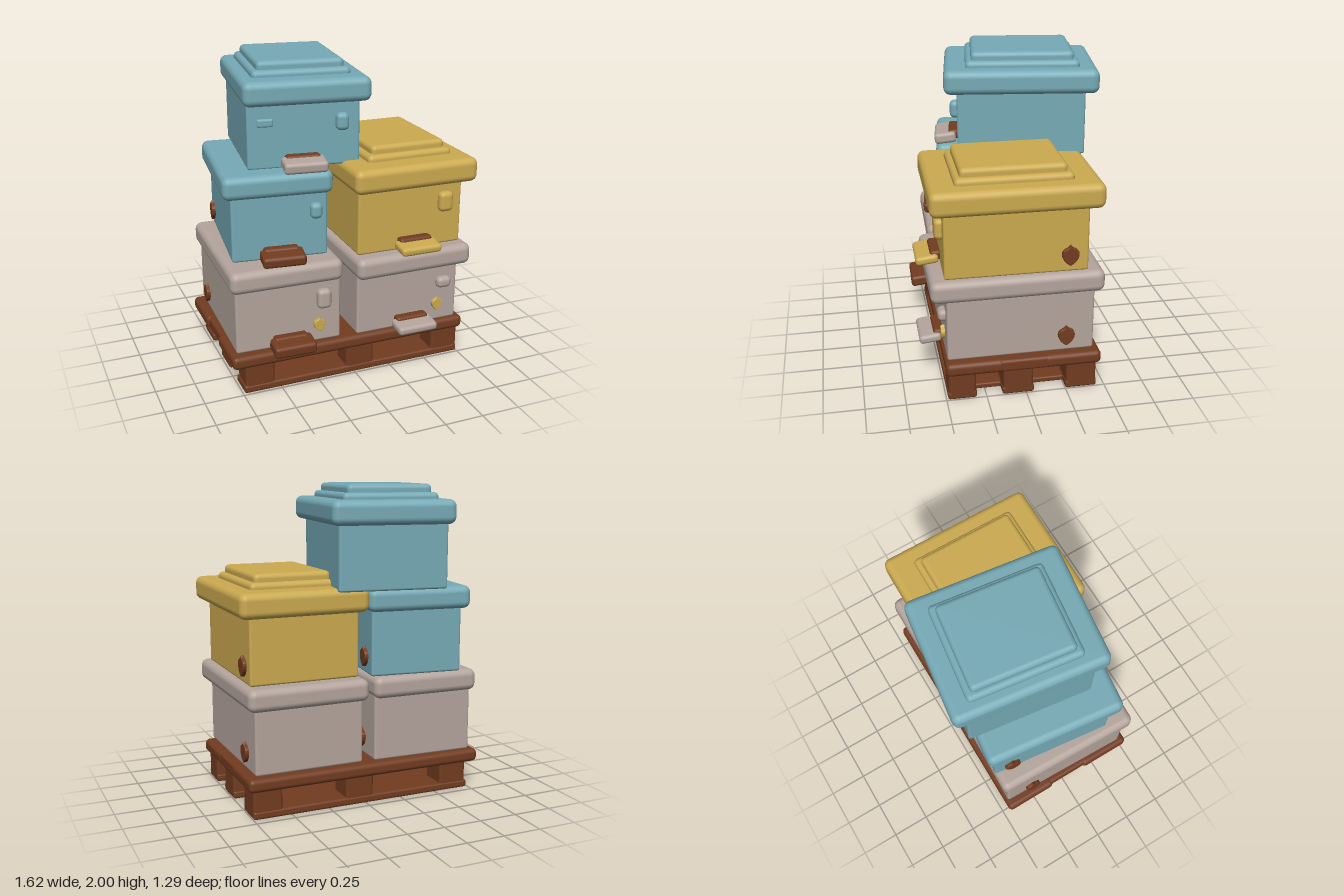
import * as THREE from 'three';
import { RoundedBoxGeometry } from 'three/addons/geometries/RoundedBoxGeometry.js';

const mat = (name, color) => Object.assign(new THREE.MeshStandardMaterial({ color }), { name });

export function createModel() {
  const blue = mat('blue paint', 0x76aab6);
  const yellow = mat('yellow paint', 0xcbaa50);
  const white = mat('off-white paint', 0xb4a59d);
  const brown = mat('brown wood', 0x723c20);
  const root = new THREE.Group();
  root.name = 'stackedHives';

  // Soft-edged box placed by its centre
  function block(parent, name, material, [w, h, d], [x, y, z], radius = 0.02) {
    const r = Math.min(radius, w * 0.49, h * 0.49, d * 0.49);
    const mesh = new THREE.Mesh(new RoundedBoxGeometry(w, h, d, 3, r), material);
    mesh.name = name;
    mesh.position.set(x, y, z);
    parent.add(mesh);
    return mesh;
  }

  // Pointed drop badge, facing +z
  const dropShape = new THREE.Shape();
  dropShape.moveTo(0, -0.06);
  dropShape.bezierCurveTo(0.03, -0.045, 0.055, -0.01, 0.045, 0.02);
  dropShape.bezierCurveTo(0.035, 0.045, 0.012, 0.035, 0, 0.06);
  dropShape.bezierCurveTo(-0.012, 0.035, -0.035, 0.045, -0.045, 0.02);
  dropShape.bezierCurveTo(-0.055, -0.01, -0.03, -0.045, 0, -0.06);
  const dropGeo = new THREE.ExtrudeGeometry(dropShape, {
    depth: 0.016, bevelThickness: 0.008, bevelSize: 0.005, bevelSegments: 2, curveSegments: 6,
  });
  function drop(parent, material, x, y, z, turn = 0, size = 1) {
    const mesh = new THREE.Mesh(dropGeo, material);
    mesh.name = 'dropBadge';
    mesh.position.set(x, y, z);
    mesh.rotation.y = turn;
    mesh.scale.set(size, size, 1);
    parent.add(mesh);
  }

  // Pallet: deck boards, bottom boards, blocks and base sheet
  const pallet = new THREE.Group();
  pallet.name = 'pallet';
  root.add(pallet);
  block(pallet, 'deckBoard', brown, [1.59, 0.085, 0.36], [-0.015, 0.218, 0.32], 0.03);
  block(pallet, 'deckBoard', brown, [1.57, 0.08, 0.36], [-0.01, 0.217, 0.01], 0.02);
  block(pallet, 'deckBoard', brown, [1.59, 0.085, 0.36], [-0.015, 0.218, -0.29], 0.03);
  for (const [z, d] of [[0.4, 0.18], [0.05, 0.2], [-0.35, 0.2]]) {
    block(pallet, 'bottomBoard', brown, [1.49, 0.05, d], [0.005, 0.026, z], 0.015);
    for (const x of [-0.635, 0.04, 0.655]) {
      block(pallet, 'palletBlock', brown, [0.19, 0.19, d - 0.01], [x, 0.1, z], 0.02);
    }
  }
  block(pallet, 'baseSheet', brown, [1.32, 0.035, 0.88], [0, 0.021, 0.02], 0.01);

  // One hive; positions inside the hive are measured from its body's base centre
  function hive(o) {
    const g = new THREE.Group();
    g.name = o.name;
    g.position.set(o.at[0], o.at[1], o.at[2]);
    g.rotation.y = o.turn;
    root.add(g);
    const [w, h, d] = o.body;
    const [lw, lh, ld] = o.lid;
    const [lx, lz] = o.lidShift;
    block(g, 'hiveBody', o.color, [w, h + 0.04, d], [0, (h + 0.04) / 2, 0], 0.015);
    block(g, 'lid', o.color, [lw, lh, ld], [lx, h + lh / 2, lz], 0.045);

    // Stepped raised panel on the lid
    if (o.panel) {
      const [pw, pd, px, pz] = o.panel;
      block(g, 'lidPanelBase', o.color, [pw, 0.08, pd], [px, h + lh, pz], 0.03);
      block(g, 'lidPanelTop', o.color, [pw - 0.07, 0.11, pd - 0.07], [px, h + lh + 0.035, pz], 0.03);
    }

    // Entrance slot with a sloping landing board
    block(g, 'entranceSlot', brown, [0.22, 0.06, 0.07], [o.boardX, 0.06, d / 2 + 0.025], 0.02);
    const board = block(g, 'landingBoard', o.boardColor, [0.27, o.boardH, 0.14],
      [o.boardX, 0.04, d / 2 + 0.08], 0.022);
    board.rotation.x = 0.12;

    // Grip tab and badges
    const [tx, ty, tw, th] = o.tab;
    block(g, 'gripTab', o.color, [tw, th, 0.07], [tx, ty, d / 2 + 0.01], 0.03);
    if (o.frontDrop) drop(g, yellow, o.frontDrop[0], o.frontDrop[1], d / 2, 0, 0.72);
    for (const s of o.sides) {
      drop(g, brown, s * w / 2, 0.11, o.sideZ, s * Math.PI / 2);
    }
    return g;
  }

  hive({
    name: 'lowerLeftHive', color: white, at: [-0.42, 0.265, 0.01], turn: -0.03,
    body: [0.68, 0.405, 0.9], lid: [0.72, 0.14, 0.98], lidShift: [-0.01, 0],
    boardX: 0.0, boardColor: brown, boardH: 0.075,
    tab: [0.225, 0.295, 0.09, 0.13], frontDrop: [0.195, 0.12], sides: [1, -1], sideZ: -0.26,
  });
  hive({
    name: 'lowerRightHive', color: white, at: [0.37, 0.265, 0.03], turn: 0,
    body: [0.71, 0.405, 0.91], lid: [0.79, 0.14, 1.06], lidShift: [0.01, 0.02],
    boardX: 0.015, boardColor: white, boardH: 0.055,
    tab: [0.25, 0.275, 0.1, 0.075], frontDrop: [0.21, 0.125], sides: [1], sideZ: -0.28,
  });
  hive({
    name: 'middleLeftHive', color: blue, at: [-0.395, 0.81, -0.055], turn: -0.12,
    body: [0.6, 0.41, 0.8], lid: [0.68, 0.145, 0.9], lidShift: [-0.01, 0],
    boardX: 0.0, boardColor: brown, boardH: 0.07,
    tab: [0.225, 0.3, 0.075, 0.1], sides: [1, -1], sideZ: -0.28,
  });
  hive({
    name: 'middleRightHive', color: yellow, at: [0.375, 0.81, 0.055], turn: -0.01,
    body: [0.71, 0.415, 0.87], lid: [0.83, 0.155, 1.03], lidShift: [0.015, 0],
    panel: [0.57, 0.71, 0.03, 0.005],
    boardX: 0.02, boardColor: yellow, boardH: 0.055,
    tab: [0.235, 0.29, 0.095, 0.13], sides: [1], sideZ: -0.32,
  });
  const top = hive({
    name: 'topHive', color: blue, at: [-0.2, 1.36, -0.125], turn: -0.135,
    body: [0.7, 0.4, 0.8], lid: [0.785, 0.15, 0.96], lidShift: [0.015, 0],
    panel: [0.61, 0.71, 0.005, -0.01],
    boardX: -0.015, boardColor: white, boardH: 0.07,
    tab: [0.235, 0.275, 0.08, 0.11], sides: [],
  });
  block(top, 'chippedPaint', blue, [0.1, 0.05, 0.03], [-0.24, 0.29, 0.4], 0.012);

  return root;
}
